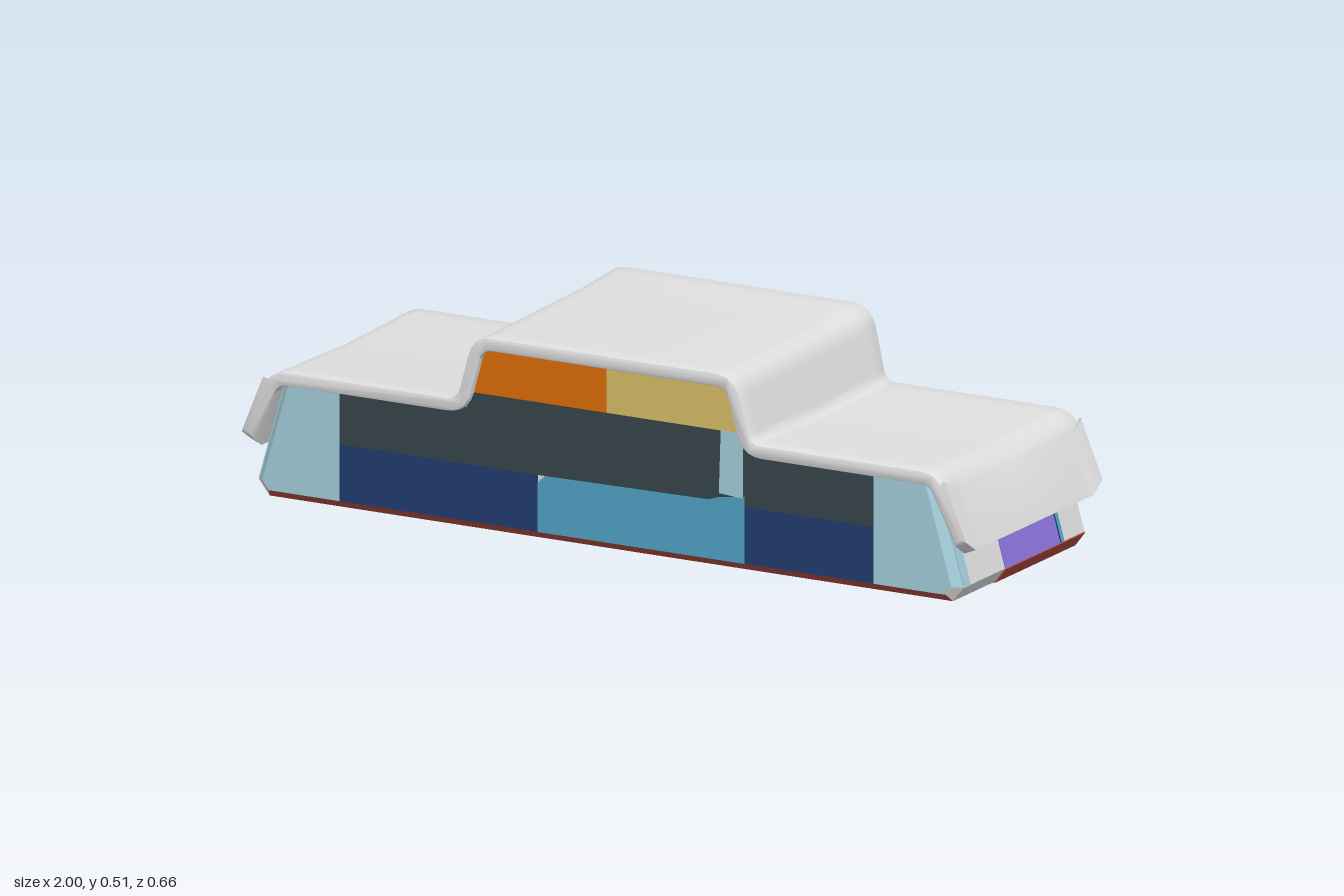
import * as THREE from 'three';
import { toCreasedNormals } from 'three/addons/utils/BufferGeometryUtils.js';

const mat = (name, color) => {
  const m = new THREE.MeshStandardMaterial({ color });
  m.name = name;
  return m;
};

export function createModel() {
  const M = {
    gray: mat('lightGray', 0xdedede), red: mat('brickRed', 0xaf4a40),
    slate: mat('slate', 0x37444a), navy: mat('navy', 0x213c6e),
    blue: mat('blue', 0x50a2c5), pale: mat('paleBlue', 0xa3cddb),
    orange: mat('orange', 0xdc6c08), yellow: mat('sandYellow', 0xd6bd66),
    purple: mat('purple', 0x8c73da),
  };
  const model = new THREE.Group();
  model.name = 'car';
  const add = (name, geometry, material, parent = model) => {
    const mesh = new THREE.Mesh(geometry, material);
    mesh.name = name;
    parent.add(mesh);
    return mesh;
  };
  const V = (x, y) => new THREE.Vector2(x, y);
  const shapeOf = (pts) => new THREE.Shape(pts.map((p) => V(p[0], p[1])));

  // Body: side profile with chamfered rims
  const half = [[0.94, 0.004], [0.968, 0.04], [0.89, 0.312], [0.39, 0.312], [0.347, 0.473]];
  const profile = [...half, ...half.map(([x, y]) => [-x, y]).reverse()];
  const body = new THREE.ExtrudeGeometry(shapeOf(profile), {
    depth: 0.58, bevelEnabled: true, bevelThickness: 0.02, bevelSize: 0.02,
    bevelOffset: -0.02, bevelSegments: 1, steps: 1,
  }).translate(0, 0, -0.29);
  // Sort body faces by colour: pale corner chamfers, red and navy lower chamfers
  const palette = [M.gray, M.pale, M.red, M.navy];
  const buckets = palette.map(() => []);
  const src = body.attributes.position.array;
  for (let i = 0; i < src.length; i += 9) {
    const t = src.slice(i, i + 9);
    const mean = (k) => (t[k] + t[k + 3] + t[k + 6]) / 3;
    const x = Math.abs(mean(0)), y = mean(1), z = mean(2);
    const rim = Math.abs(z) > 0.292 && Math.abs(z) < 0.308;
    let k = 0;
    if (rim && x > 0.85 && y > 0.045 && y < 0.29) k = 1;
    else if (rim && y < 0.022 && x < 0.9) k = z > 0 ? 2 : 3;
    buckets[k].push(...t);
  }
  const bodyGeo = new THREE.BufferGeometry();
  bodyGeo.setAttribute('position', new THREE.Float32BufferAttribute(buckets.flat(), 3));
  let start = 0;
  buckets.forEach((b, k) => {
    bodyGeo.addGroup(start, b.length / 3, k);
    start += b.length / 3;
  });
  bodyGeo.computeVertexNormals();
  add('body', bodyGeo, palette);

  // Roof shell: a strip of even thickness following a rounded centre line
  const line = [[-0.982, 0.13], [-0.908, 0.31], [-0.392, 0.31], [-0.347, 0.473],
    [0.347, 0.473], [0.392, 0.31], [0.908, 0.31], [0.982, 0.13]].map((p) => V(...p));
  const path = new THREE.Path().moveTo(line[0].x, line[0].y);
  for (let i = 1; i < line.length - 1; i++) {
    const c = line[i];
    const toward = (q) => c.clone().add(q.clone().sub(c).setLength(0.04));
    const a = toward(line[i - 1]), b = toward(line[i + 1]);
    path.lineTo(a.x, a.y);
    path.quadraticCurveTo(c.x, c.y, b.x, b.y);
  }
  path.lineTo(line.at(-1).x, line.at(-1).y);
  const centre = path.getPoints(5);
  const offset = (d) => centre.map((p, i) => {
    const t = centre[Math.min(i + 1, centre.length - 1)].clone().sub(centre[Math.max(i - 1, 0)]).normalize();
    return V(p.x - t.y * d, p.y + t.x * d);
  });
  const shellShape = new THREE.Shape([...offset(0.017), ...offset(-0.017).reverse()]);
  const shell = new THREE.ExtrudeGeometry(shellShape, {
    depth: 0.644, steps: 16, bevelEnabled: true, bevelThickness: 0.007, bevelSize: 0.007,
    bevelOffset: -0.007, bevelSegments: 2,
  }).translate(0, 0, -0.322);
  // Lift the cabin rear edge, sag the hoods, trim the lip corners
  const sp = shell.attributes.position;
  for (let i = 0; i < sp.count; i++) {
    const x = Math.abs(sp.getX(i)), y = sp.getY(i), z = sp.getZ(i);
    let dy = 0;
    if (y > 0.4) dy = 0.012 * (0.33 - z) / 0.66 + Math.max(0, -0.17 - z) * 0.05;
    else if (y > 0.28) dy = -0.008 * (1 - Math.abs(z) / 0.33);
    else if (x > 0.93) dy = Math.max(0, Math.abs(z) - 0.285) * 0.7;
    sp.setY(i, y + dy);
  }
  add('roofShell', toCreasedNormals(shell, 0.7), M.gray);

  // Flat painted panels on the long sides
  const panel = (name, material, pts, back = false, lift = 0) => {
    const g = new THREE.ExtrudeGeometry(shapeOf(pts), { depth: 0.004, bevelEnabled: false });
    g.translate(0, 0, back ? -0.313 - lift : 0.309 + lift);
    return add(name, g, material);
  };
  const rect = (x0, x1, y0, y1) => [[x0, y0], [x1, y0], [x1, y1], [x0, y1]];
  const endPts = (s, top) => {
    const edge = 0.946 - (top - 0.05) * 0.29;
    return [[0.735, 0.024], [0.928, 0.024], [0.946, 0.05], [edge, top], [0.735, top]].map(([x, y]) => [s * x, y]);
  };
  for (const s of [-1, 1]) {
    panel('frontEndPanel', M.pale, endPts(s, 0.305));
    panel('backEndPanel', M.pale, endPts(s, 0.165), true);
  }
  for (const back of [false, true]) {
    panel('lowerPanelRight', M.navy, rect(-0.735, -0.19, 0.024, 0.165), back);
    panel('lowerPanelLeft', M.navy, rect(0.38, 0.735, 0.024, 0.165), back);
  }
  panel('frontLowerCentre', M.blue, [[-0.19, 0.024], [0.38, 0.024], [0.38, 0.19], [0.31, 0.18],
    [0.28, 0.17], [-0.17, 0.165], [-0.19, 0.145]], false, 0.001);
  panel('backLowerCentre', M.blue, rect(-0.19, 0.38, 0.024, 0.165), true);
  panel('frontBand', M.slate, [[-0.735, 0.165], [0.735, 0.165], [0.735, 0.305], [0.385, 0.305],
    [0.375, 0.345], [-0.375, 0.345], [-0.385, 0.305], [-0.735, 0.305]]);
  panel('frontPillar', M.pale, [[0.31, 0.19], [0.375, 0.185], [0.375, 0.345], [0.315, 0.345]], false, 0.002);
  panel('frontWindowRight', M.orange, [[-0.372, 0.345], [0, 0.345], [0, 0.468], [-0.342, 0.468]]);
  panel('frontWindowLeft', M.yellow, [[0, 0.345], [0.372, 0.345], [0.342, 0.468], [0, 0.468]]);
  panel('backBand', M.red, [[-0.913, 0.165], [0.913, 0.165], [0.873, 0.305], [0.386, 0.305],
    [0.342, 0.468], [-0.342, 0.468], [-0.386, 0.305], [-0.873, 0.305]], true);
  panel('backCornerPatch', M.gray, [[0.28, 0.35], [0.34, 0.345], [0.365, 0.365], [0.342, 0.465],
    [0.265, 0.465], [0.265, 0.365]], true, 0.002);

  // Four-pointed stars on the back side
  const stars = [[0.01, 0.265, 0.1], [0.67, 0.165, 0.072], [0.59, 0.1, 0.042],
    [-0.67, 0.165, 0.072], [-0.58, 0.108, 0.042], [-0.725, 0.11, 0.038]];
  for (const [x, y, r] of stars) {
    const pts = [];
    for (let i = 0; i < 8; i++) {
      const a = i * Math.PI / 4, d = i % 2 ? r * 0.42 : i % 4 === 2 ? r * 1.12 : r;
      pts.push([x + Math.cos(a) * d, y + Math.sin(a) * d]);
    }
    panel('star', M.gray, pts, true, 0.002);
  }

  // End plates lying on the sloped face and on the lower chamfer
  for (const s of [-1, 1]) {
    const place = (x, y, angle) => {
      const g = new THREE.Group();
      g.name = 'endPlates';
      g.position.set(s * x, y, 0);
      g.rotation.z = s * angle;
      model.add(g);
      return g;
    };
    const plate = (name, m, g, z0, z1, h) =>
      add(name, new THREE.BoxGeometry(0.006, h, z1 - z0).translate(0, h / 2, (z0 + z1) / 2), m, g);
    const face = place(0.968, 0.04, Math.atan2(0.078, 0.272));
    plate('endCentre', M.purple, face, -0.17, 0.09, 0.26);
    plate('endNavyEdge', M.navy, face, -0.176, -0.17, 0.26);
    plate('endBlueEdge', M.blue, face, -0.19, -0.176, 0.26);
    plate('endCorner', M.pale, face, 0.258, 0.29, 0.26);
    const lower = place(0.94, 0.004, -Math.atan2(0.028, 0.036));
    plate('endLower', M.red, lower, -0.29, 0.09, 0.0456);
  }

  // Underside patches
  const under = (name, m, x0, x1, z0, z1) =>
    add(name, new THREE.BoxGeometry(x1 - x0, 0.005, z1 - z0)
      .translate((x0 + x1) / 2, 0.0025, (z0 + z1) / 2), m);
  under('underStripe', M.orange, 0.36, 0.938, -0.17, 0.09);
  under('underStripe', M.yellow, 0, 0.36, -0.17, 0.09);
  under('underStripe', M.orange, -0.72, 0, -0.17, 0.09);
  under('underStripe', M.yellow, -0.938, -0.72, -0.17, 0.09);
  under('underPatch', M.slate, 0.36, 0.72, 0.09, 0.21);
  under('underPatch', M.slate, -0.72, 0, 0.09, 0.21);
  under('underPatch', M.slate, -0.72, 0.72, -0.29, -0.17);
  return model;
}
